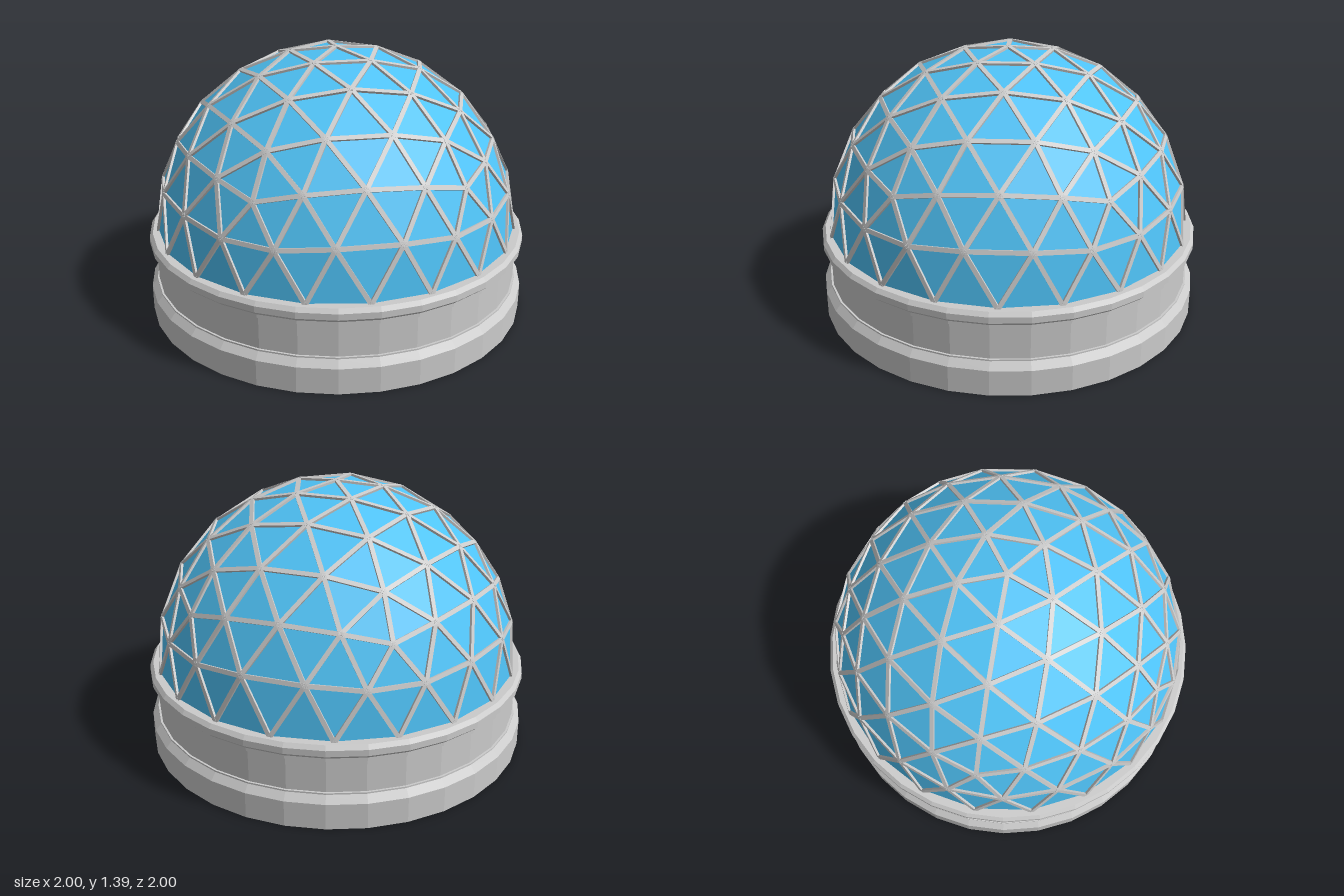
import * as THREE from 'three';
import { mergeGeometries } from 'three/addons/utils/BufferGeometryUtils.js';

const RADIUS = 0.945;
const CENTER_Y = 0.437;
const FREQUENCY = 4;

// Corner triangles of the upper part of an icosahedron standing on a vertex
function icosahedronFaces() {
  const onRing = (deg, y) => {
    const a = THREE.MathUtils.degToRad(deg), r = 2 / Math.sqrt(5);
    return new THREE.Vector3(r * Math.cos(a), y, r * Math.sin(a));
  };
  const h = 1 / Math.sqrt(5);
  const top = new THREE.Vector3(0, 1, 0);
  const faces = [];
  for (let i = 0; i < 5; i++) {
    const a = i * 72;
    const u0 = onRing(a, h), u1 = onRing(a + 72, h);
    const l0 = onRing(a + 36, -h), l1 = onRing(a + 108, -h);
    faces.push([top, u1, u0], [u0, u1, l0], [u1, l1, l0]);
  }
  return faces;
}

// Geodesic triangles of the half sphere, wound to face outward
function domeTriangles() {
  const triangles = [];
  const n = FREQUENCY;
  for (const [a, b, c] of icosahedronFaces()) {
    const point = (i, j) => new THREE.Vector3()
      .addScaledVector(a, (n - i - j) / n)
      .addScaledVector(b, i / n)
      .addScaledVector(c, j / n)
      .setLength(RADIUS);
    for (let i = 0; i < n; i++) {
      for (let j = 0; j < n - i; j++) {
        triangles.push([point(i, j), point(i + 1, j), point(i, j + 1)]);
        if (i + j < n - 1) triangles.push([point(i + 1, j), point(i + 1, j + 1), point(i, j + 1)]);
      }
    }
  }
  return triangles.filter((t) => t.every((p) => p.y > -1e-4));
}

// Square bar along one edge, its upper face turned away from the dome centre
function strutGeometry(p, q) {
  const along = q.clone().sub(p);
  const length = along.length();
  along.normalize();
  const mid = p.clone().add(q).multiplyScalar(0.5);
  const out = mid.clone().normalize();
  const side = new THREE.Vector3().crossVectors(out, along);
  const matrix = new THREE.Matrix4().makeBasis(side, out, along).setPosition(mid);
  return new THREE.BoxGeometry(0.022, 0.022, length + 0.006).applyMatrix4(matrix);
}

export function createModel() {
  const model = new THREE.Group();
  const grey = new THREE.MeshStandardMaterial({ color: 0xcccccc, flatShading: true });
  const blue = new THREE.MeshStandardMaterial({ color: 0x4fc3f7, flatShading: true, side: THREE.DoubleSide });

  // Round plinth with a stepped foot and a moulded rim
  const profile = [
    [0, 0], [1, 0], [1, 0.135], [0.97, 0.17], [0.97, 0.178], [0.96, 0.178],
    [0.96, 0.35], [0.974, 0.35], [0.974, 0.368], [0.995, 0.388], [0.995, 0.42],
    [0.978, 0.44], [0, 0.44],
  ].map(([r, y]) => new THREE.Vector2(r, y));
  const base = new THREE.Mesh(new THREE.LatheGeometry(profile, 32), grey);
  base.name = 'base';
  model.add(base);

  const dome = new THREE.Group();
  dome.name = 'dome';
  dome.position.y = CENTER_Y;
  model.add(dome);

  // Glass panels, and every shared edge collected once
  const panelPoints = [];
  const edges = new Map();
  const key = (p) => p.toArray().map((v) => Math.round(v * 1000) + 0).join(',');
  for (const [a, b, c] of domeTriangles()) {
    const normal = b.clone().sub(a).cross(c.clone().sub(a));
    panelPoints.push(...(normal.dot(a) > 0 ? [a, b, c] : [a, c, b]));
    for (const [p, q] of [[a, b], [b, c], [c, a]]) {
      if (p.y < 1e-3 && q.y < 1e-3) continue; // lowest ring sits inside the rim
      edges.set([key(p), key(q)].sort().join('|'), [p, q]);
    }
  }
  const panelGeometry = new THREE.BufferGeometry().setFromPoints(panelPoints);
  panelGeometry.computeVertexNormals();
  const panels = new THREE.Mesh(panelGeometry, blue);
  panels.name = 'glassPanels';
  dome.add(panels);

  // Lattice of struts
  const bars = [...edges.values()].map(([p, q]) => strutGeometry(p, q));
  const struts = new THREE.Mesh(mergeGeometries(bars), grey);
  struts.name = 'struts';
  dome.add(struts);

  return model;
}
